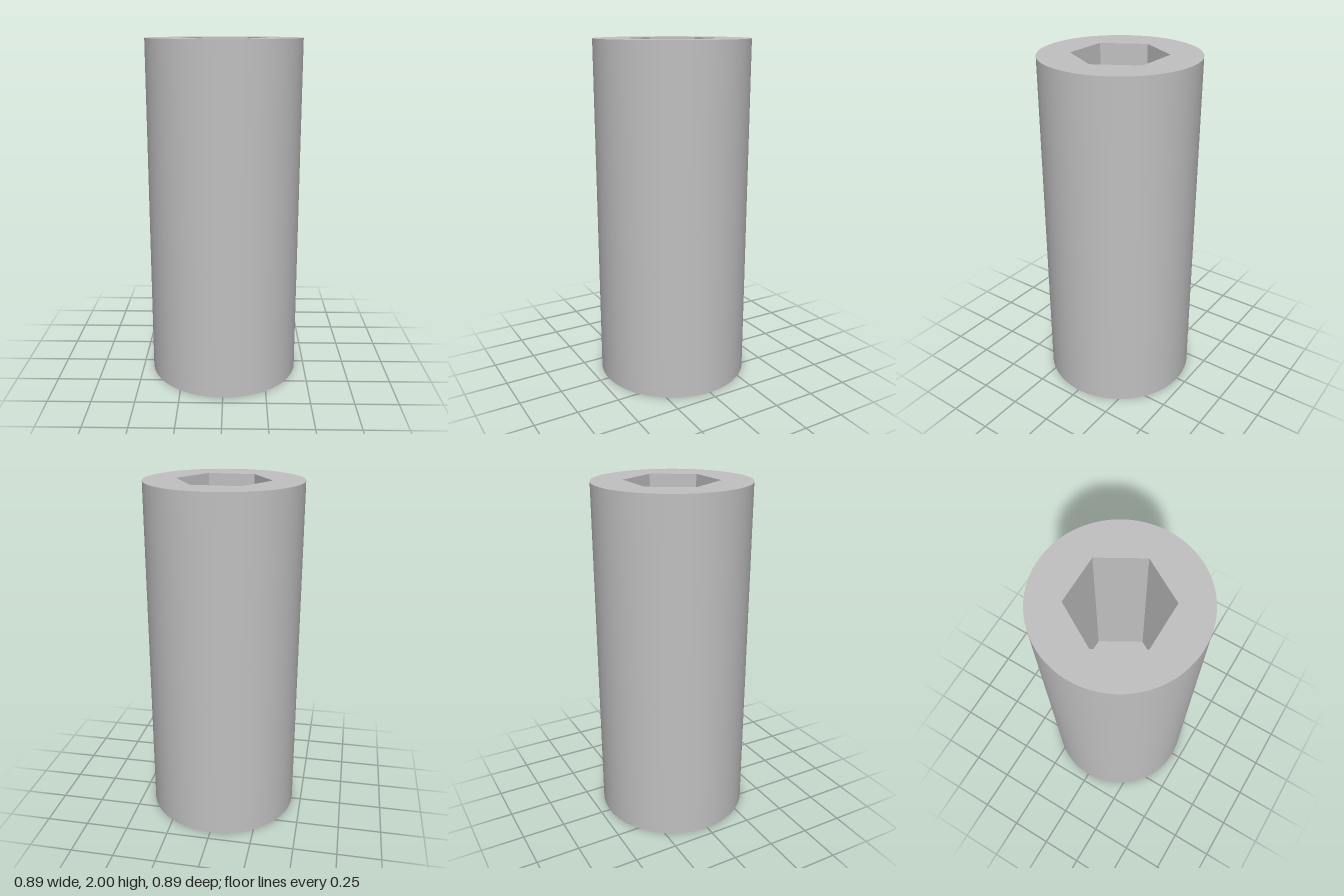
import * as THREE from 'three';
import { toCreasedNormals } from 'three/addons/utils/BufferGeometryUtils.js';

const SEGMENTS = 96;
const HEIGHT = 2, OUTER = 0.444, BORE = 0.143, HEX = 0.268, HEX_FLOOR = 1;

export function createModel() {
  const group = new THREE.Group();
  const steel = new THREE.MeshStandardMaterial({ color: 0xc0c0c0 });
  steel.name = 'light grey';

  const add = (name, geometry) => {
    const mesh = new THREE.Mesh(geometry, steel);
    mesh.name = name;
    group.add(mesh);
  };

  // Revolved surface with crisp edges; upward profiles face out, downward ones face in
  const revolve = (profile, segments, start = 0) => toCreasedNormals(
    new THREE.LatheGeometry(profile.map(([r, y]) => new THREE.Vector2(r, y)), segments, start), 0.5);

  // Flat face looking up at height y
  const flatFace = (shape, y) =>
    new THREE.ShapeGeometry(shape, SEGMENTS).rotateX(-Math.PI / 2).translate(0, y, 0);

  const hexPoints = Array.from({ length: 6 }, (_, i) =>
    new THREE.Vector2(HEX * Math.cos(i * Math.PI / 3), HEX * Math.sin(i * Math.PI / 3)));

  // Narrow bore, two counterbore steps, bottom rim and outer wall
  add('sleeveBody', revolve([
    [BORE, HEX_FLOOR], [BORE, 0.257], [0.278, 0.257], [0.278, 0.115],
    [0.348, 0.115], [0.348, 0], [OUTER, 0], [OUTER, HEIGHT],
  ], SEGMENTS));

  // Top face with the hexagonal opening
  const top = new THREE.Shape().absarc(0, 0, OUTER, 0, Math.PI * 2, false);
  top.holes.push(new THREE.Path(hexPoints));
  add('topFace', flatFace(top, HEIGHT));

  // Hexagonal socket walls
  add('hexSocketWalls', revolve([[HEX, HEIGHT], [HEX, HEX_FLOOR]], 6, Math.PI / 6));

  // Socket floor around the bore
  const floor = new THREE.Shape(hexPoints);
  floor.holes.push(new THREE.Path().absarc(0, 0, BORE, 0, Math.PI * 2, true));
  add('hexSocketFloor', flatFace(floor, HEX_FLOOR));

  return group;
}
